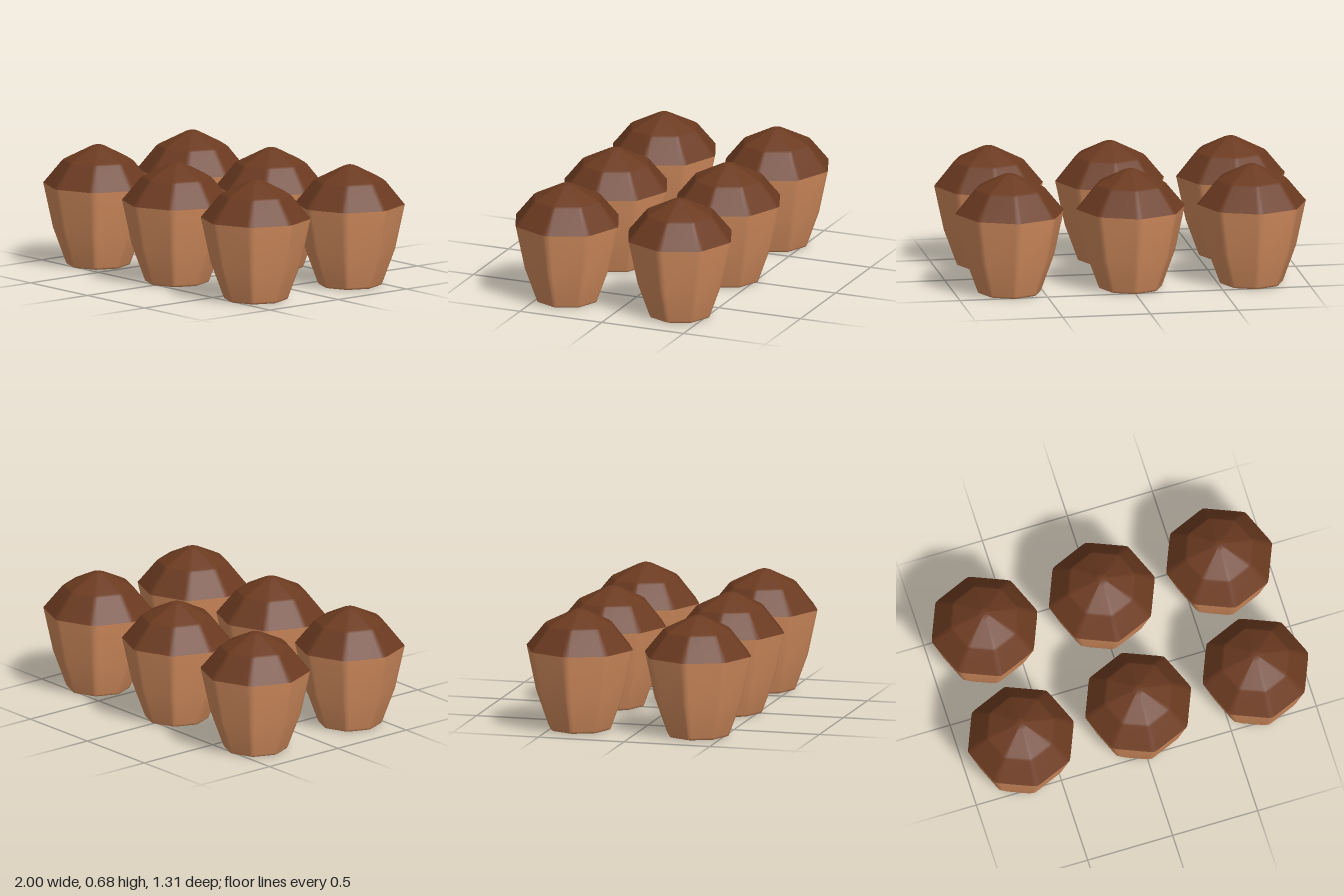
import * as THREE from 'three';

// Octagon outline with each corner softened by three points
const outline = [];
for (let i = 0; i < 8; i++) {
  for (const [offset, scale] of [[-0.075, 0.98], [0, 1], [0.075, 0.98]]) {
    const a = (i * Math.PI) / 4 + offset;
    outline.push([Math.sin(a) * scale, Math.cos(a) * scale]);
  }
}

// Skins a [radius, height] profile, listed bottom to top, around the outline
function loft(profile) {
  const n = outline.length;
  const positions = [];
  const index = [];
  for (const [r, y] of profile) {
    for (const [x, z] of outline) positions.push(x * r, y, z * r);
  }
  for (let k = 0; k < profile.length - 1; k++) {
    for (let i = 0; i < n; i++) {
      const a = k * n + i;
      const b = k * n + ((i + 1) % n);
      index.push(a, b, b + n, a, b + n, a + n);
    }
  }
  const geometry = new THREE.BufferGeometry();
  geometry.setAttribute('position', new THREE.Float32BufferAttribute(positions, 3));
  geometry.setIndex(index);
  geometry.computeVertexNormals();
  return geometry;
}

export function createModel() {
  const group = new THREE.Group();
  group.name = 'muffins';

  // Tapered cup with a closed base, and a domed top with a small flat crown
  const cupGeometry = loft([
    [0, 0], [0.168, 0], [0.178, 0.004], [0.183, 0.014], [0.255, 0.21], [0.31, 0.464],
  ]);
  const topGeometry = loft([
    [0.31, 0.464], [0.298, 0.478], [0.203, 0.594], [0.19, 0.604],
    [0.04, 0.678], [0.022, 0.684], [0, 0.684],
  ]);
  const cupMaterial = new THREE.MeshStandardMaterial({ color: 0xd89060 });
  const topMaterial = new THREE.MeshStandardMaterial({ color: 0x6b3a20 });

  // Two rows of three
  for (const z of [-0.345, 0.345]) {
    for (const x of [-0.69, 0, 0.69]) {
      const muffin = new THREE.Group();
      muffin.name = 'muffin';
      const cup = new THREE.Mesh(cupGeometry, cupMaterial);
      cup.name = 'cup';
      const top = new THREE.Mesh(topGeometry, topMaterial);
      top.name = 'muffinTop';
      muffin.add(cup, top);
      muffin.position.set(x, 0, z);
      group.add(muffin);
    }
  }
  return group;
}
